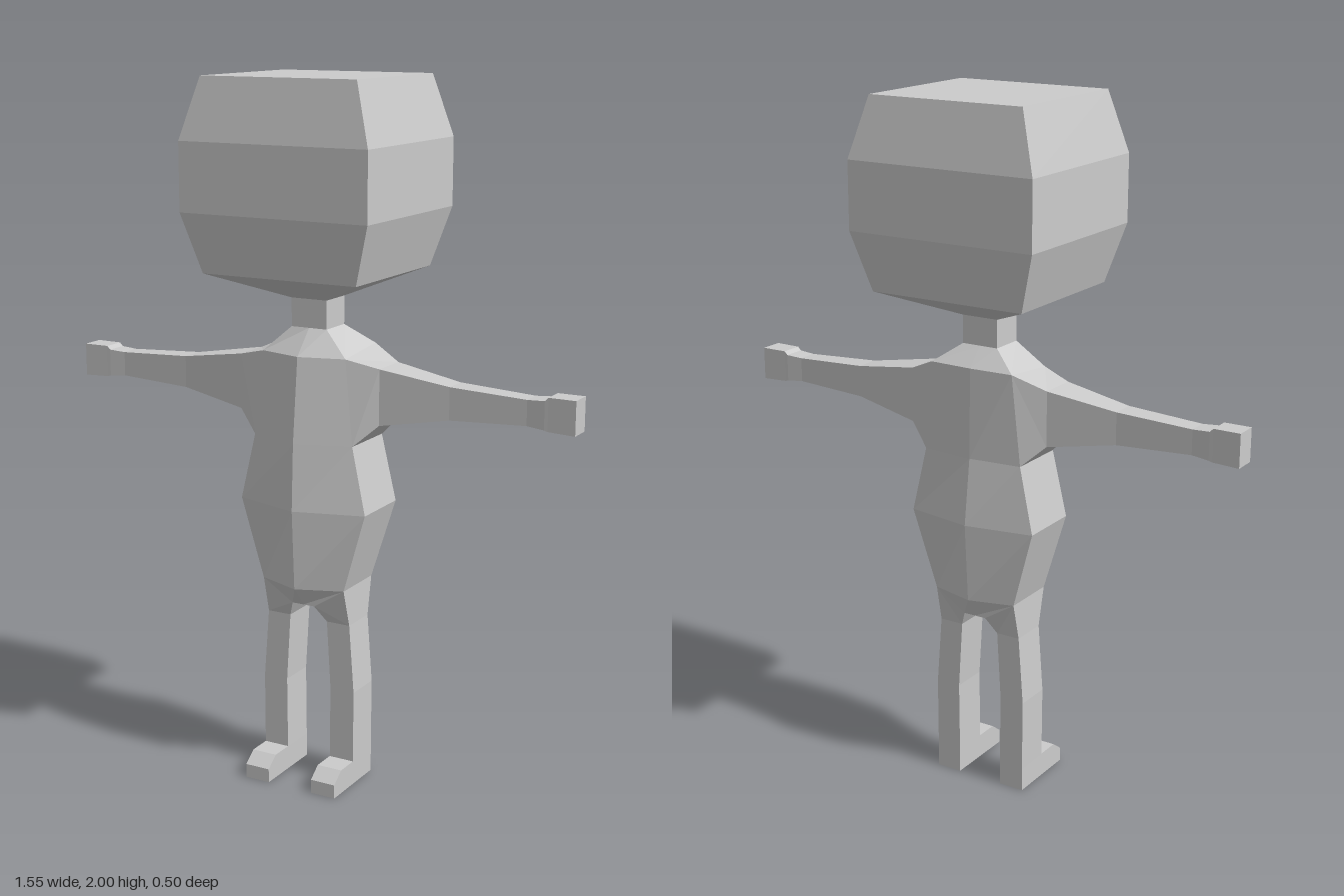
import * as THREE from 'three';

const material = new THREE.MeshStandardMaterial({ color: 0xcccccc, flatShading: true });

// Skins a list of matching point rings and caps both ends; faces always turn outward.
function loft(name, rings, mirror = 1) {
  const n = rings[0].length;
  const tris = [];
  for (let r = 0; r < rings.length - 1; r++) {
    for (let i = 0; i < n; i++) {
      const j = (i + 1) % n;
      const [a, b, c, d] = [rings[r][i], rings[r][j], rings[r + 1][j], rings[r + 1][i]];
      tris.push([a, b, c], [a, c, d]);
    }
  }
  const first = rings[0], last = rings[rings.length - 1];
  for (let i = 1; i < n - 1; i++) {
    tris.push([first[0], first[i + 1], first[i]], [last[0], last[i], last[i + 1]]);
  }
  const faces = tris.map(t => t.map(p => new THREE.Vector3(p[0] * mirror, p[1], p[2])));
  const centre = new THREE.Vector3(first[0][0] * mirror, first[0][1], first[0][2]);
  let volume = 0;
  for (const [a, b, c] of faces) {
    const u = a.clone().sub(centre), v = b.clone().sub(centre), w = c.clone().sub(centre);
    volume += u.dot(v.cross(w));
  }
  if (volume < 0) faces.forEach(f => f.reverse());
  const geometry = new THREE.BufferGeometry().setFromPoints(faces.flat());
  geometry.computeVertexNormals();
  const mesh = new THREE.Mesh(geometry, material);
  mesh.name = name;
  return mesh;
}

// Horizontal rectangle
const slab = (y, x0, x1, zf, zb) => [[x0, y, zf], [x1, y, zf], [x1, y, zb], [x0, y, zb]];

// Horizontal torso ring with a raised centre line at front and back
const torsoRing = (y, hx, cornerF, cornerB, midF, midB, yBack = y) => [
  [-hx, y, cornerF], [0, y, midF], [hx, y, cornerF],
  [hx, yBack, cornerB], [0, yBack, midB], [-hx, yBack, cornerB],
];

// Upright rectangle across the arm
const armRing = (x, y0, y1, zf, zb) => [[x, y1, zf], [x, y1, zb], [x, y0, zb], [x, y0, zf]];

export function createModel() {
  const model = new THREE.Group();
  model.name = 'figure';

  // Boxy head tapering to the neck
  model.add(loft('head', [
    [1.4, 0.055, 0.05], [1.475, 0.235, 0.217], [1.64, 0.285, 0.25],
    [1.83, 0.285, 0.25], [2, 0.235, 0.217],
  ].map(([y, hx, hz]) => slab(y, -hx, hx, hz, -hz))));

  model.add(loft('neck', [1.32, 1.4].map(y => slab(y, -0.055, 0.055, 0.05, -0.05))));

  // Torso from crotch to collar
  model.add(loft('torso', [
    torsoRing(0.53, 0.035, 0.085, -0.08, 0.085, -0.08),
    torsoRing(0.59, 0.13, 0.085, -0.08, 0.135, -0.115),
    torsoRing(0.82, 0.198, 0.09, -0.095, 0.148, -0.13),
    torsoRing(1.01, 0.155, 0.085, -0.09, 0.14, -0.105),
    torsoRing(1.25, 0.13, 0.08, -0.095, 0.115, -0.1, 1.267),
    torsoRing(1.32, 0.055, 0.05, -0.05, 0.05, -0.05),
  ]));

  for (const side of [1, -1]) {
    const label = side > 0 ? 'left' : 'right';

    // Arm from armhole to hand
    model.add(loft(label + 'Arm', [
      [[0.13, 1.25, 0.08], [0.13, 1.267, -0.095], [0.155, 1.01, -0.09], [0.155, 1.01, 0.085]],
      armRing(0.22, 1.07, 1.227, 0.053, -0.06),
      armRing(0.42, 1.105, 1.196, 0.033, -0.037),
      armRing(0.64, 1.115, 1.185, 0.027, -0.031),
    ], side));
    model.add(loft(label + 'Hand', [
      armRing(0.64, 1.115, 1.185, 0.027, -0.031),
      armRing(0.69, 1.11, 1.188, 0.03, -0.034),
      armRing(0.7, 1.107, 1.198, 0.03, -0.034),
      armRing(0.777, 1.104, 1.198, 0.031, -0.035),
    ], side));

    // Leg from hip to ankle
    model.add(loft(label + 'Leg', [
      [[0.035, 0.53, 0.085], [0.13, 0.59, 0.085], [0.13, 0.59, -0.08], [0.035, 0.53, -0.08]],
      slab(0.48, 0.06, 0.132, 0.055, -0.055),
      slab(0.28, 0.072, 0.147, 0.055, -0.055),
      slab(0.07, 0.07, 0.146, 0.055, -0.055),
    ], side));

    // Foot with a bevelled toe
    const profile = [[0, -0.055], [0, 0.165], [0.04, 0.165], [0.07, 0.125], [0.07, -0.055]];
    model.add(loft(label + 'Foot', [0.07, 0.146].map(x => profile.map(([y, z]) => [x, y, z])), side));
  }
  return model;
}
